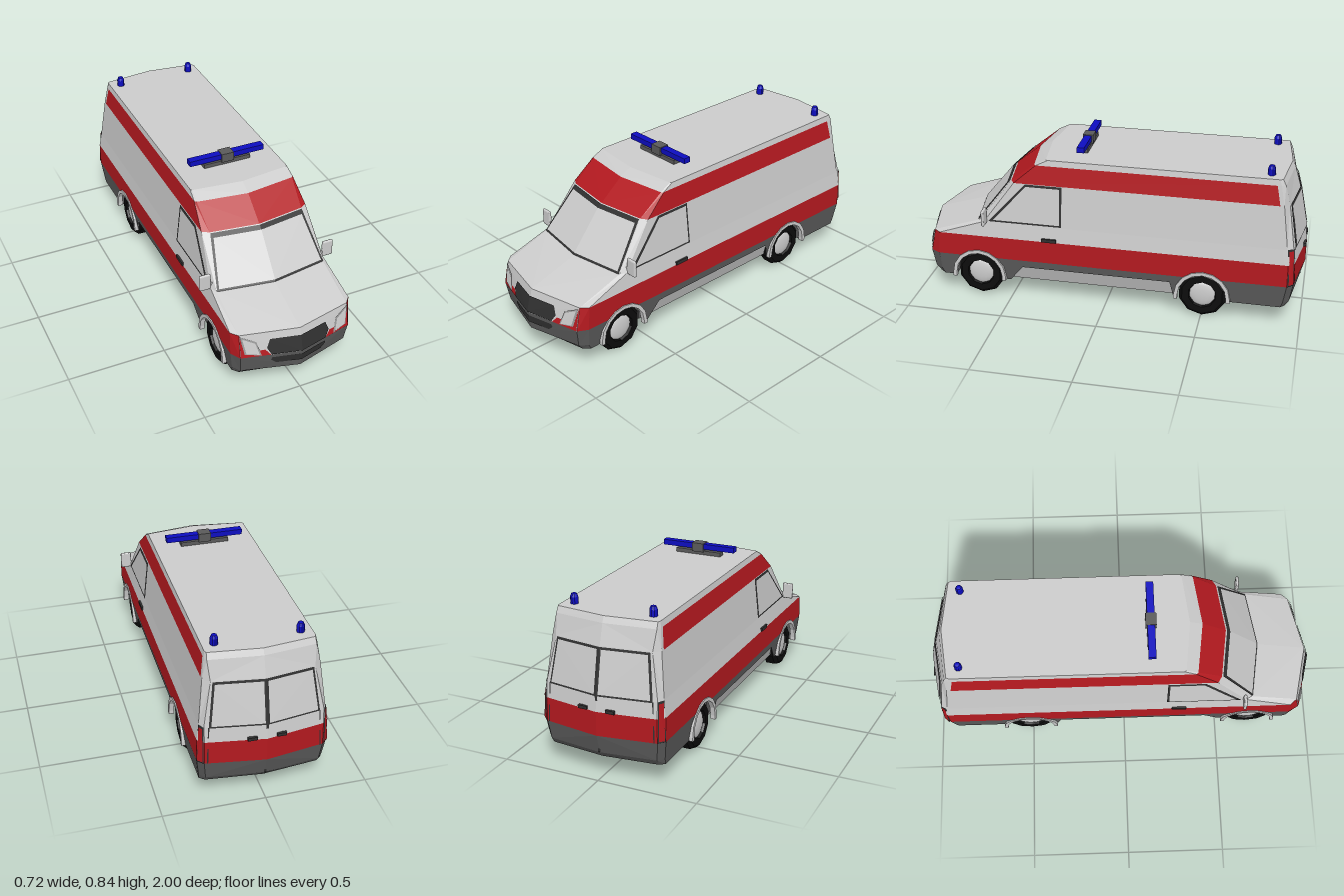
import * as THREE from 'three';
import { RoundedBoxGeometry } from 'three/addons/geometries/RoundedBoxGeometry.js';

const mat = (color) => new THREE.MeshStandardMaterial({ color, flatShading: true, side: THREE.DoubleSide });
const LIGHT = mat(0xcccccc), RED = mat(0xb3191f), DARK = mat(0x5a5a5a), TRIM = mat(0x303030),
  BLACK = mat(0x0c0c0c), BLUE = mat(0x0d0dc0), GREY = mat(0x999999);

// Body levels: y, half width, side front z, corner x, corner front z, centre front z,
// side rear z, corner rear z, centre rear z
const LEVELS = [
  [0.105, 0.300, 0.860, 0.275, 0.890, 0.950, -0.900, -0.920, -0.950],
  [0.135, 0.303, 0.875, 0.277, 0.915, 0.990, -0.910, -0.940, -0.975],
  [0.230, 0.315, 0.880, 0.287, 0.930, 1.000, -0.925, -0.955, -1.000],
  [0.350, 0.315, 0.870, 0.285, 0.905, 0.970, -0.925, -0.955, -1.000],
  [0.430, 0.303, 0.630, 0.286, 0.660, 0.705, -0.915, -0.945, -0.990],
  [0.650, 0.279, 0.470, 0.246, 0.490, 0.525, -0.885, -0.910, -0.945],
  [0.750, 0.265, 0.355, 0.256, 0.365, 0.400, -0.865, -0.885, -0.915],
  [0.780, 0.260, 0.295, 0.254, 0.305, 0.335, -0.855, -0.870, -0.900],
];

// Level values at any height
function at(y) {
  let i = 0;
  while (i < LEVELS.length - 2 && y > LEVELS[i + 1][0]) i++;
  const t = (y - LEVELS[i][0]) / (LEVELS[i + 1][0] - LEVELS[i][0]);
  return LEVELS[i].map((v, k) => v + (LEVELS[i + 1][k] - v) * t);
}

// Half ring of a level, from front centre round the side to rear centre
const ring = ([y, w, sF, cx, cF, mF, sR, cR, mR]) =>
  [[0, y, mF], [cx, y, cF], [w, y, sF], [w, y, sR + 0.02], [w, y, sR], [cx, y, cR], [0, y, mR]];

// Mappings from flat drawings onto the body: front and rear take (x, y), side takes (z, y)
const lerp = THREE.MathUtils.lerp;
const front = (off) => (x, y) => { const l = at(y); return [x, y, lerp(l[5], l[4], x / l[3]) + off]; };
const rear = (off) => (x, y) => { const l = at(y); return [x, y, lerp(l[8], l[7], x / l[3]) - off]; };
const side = (off) => (z, y) => [at(y)[1] + off, y, z];
const rearCorner = (off) => (t, y) => {
  const l = at(y);
  return [lerp(l[1], l[3], t) + off, y, lerp(l[6], l[7], t) - off];
};

const shapeOf = (pts) => new THREE.Shape(pts.map(([a, b]) => new THREE.Vector2(a, b)));

function add(group, name, geometry, material, x = 0, y = 0, z = 0) {
  const mesh = new THREE.Mesh(geometry, material);
  mesh.name = name;
  mesh.position.set(x, y, z);
  group.add(mesh);
  return mesh;
}

// Flat outline laid onto a body surface
function panel(group, name, pts, surface, material) {
  const g = new THREE.ShapeGeometry(shapeOf(pts));
  const p = g.attributes.position;
  for (let i = 0; i < p.count; i++) p.setXYZ(i, ...surface(p.getX(i), p.getY(i)));
  g.computeVertexNormals();
  return add(group, name, g, material);
}

// Body shell: bands between levels, one material per segment
// (front, front corner, side, side rear edge, rear corner, rear); null leaves an opening
function buildShell(group) {
  const bands = [
    [DARK, DARK, null, DARK, DARK, DARK],
    [DARK, DARK, null, DARK, DARK, DARK],
    [LIGHT, RED, null, RED, RED, RED],
    [LIGHT, LIGHT, LIGHT, LIGHT, LIGHT, LIGHT],
    [LIGHT, LIGHT, LIGHT, LIGHT, LIGHT, LIGHT],
    [RED, RED, RED, LIGHT, LIGHT, LIGHT],
    [LIGHT, LIGHT, LIGHT, LIGHT, LIGHT, LIGHT],
  ];
  const faces = new Map([[LIGHT, []], [RED, []], [DARK, []]]);
  bands.forEach((mats, i) => {
    const a = ring(LEVELS[i]), b = ring(LEVELS[i + 1]);
    mats.forEach((m, s) => {
      if (m) faces.get(m).push(...a[s], ...a[s + 1], ...b[s + 1], ...a[s], ...b[s + 1], ...b[s]);
    });
  });
  const top = ring(LEVELS[LEVELS.length - 1]);
  for (let i = 1; i < top.length - 1; i++) faces.get(LIGHT).push(...top[0], ...top[i], ...top[i + 1]);
  const names = new Map([[LIGHT, 'bodyShell'], [RED, 'redBands'], [DARK, 'bumpers']]);
  for (const [m, list] of faces) {
    const g = new THREE.BufferGeometry();
    g.setAttribute('position', new THREE.Float32BufferAttribute(list, 3));
    g.computeVertexNormals();
    add(group, names.get(m), g, m);
  }
}

const WHEELS = [0.665, -0.505];

function buildLowerSide(group) {
  const [f, r] = WHEELS;
  const notch = (c) => [[c + 0.13, 0.105], [c + 0.113, 0.19], [c + 0.077, 0.23],
    [c - 0.077, 0.23], [c - 0.113, 0.19], [c - 0.13, 0.105]];
  const redNotch = (c) => [[c + 0.077, 0.23], [c + 0.04, 0.25], [c - 0.04, 0.25], [c - 0.077, 0.23]];
  panel(group, 'lowerSide', [[0.88, 0.23], [0.875, 0.135], [0.86, 0.105], ...notch(f),
    [0.5, 0.105], [0.43, 0.19], [-0.34, 0.19], [-0.36, 0.105], ...notch(r),
    [-0.88, 0.105], [-0.89, 0.135], [-0.905, 0.23]], side(0), DARK);
  panel(group, 'redSide', [[0.87, 0.35], [0.88, 0.23], ...redNotch(f), ...redNotch(r),
    [-0.905, 0.23], [-0.905, 0.35]], side(0), RED);
  panel(group, 'sideSkirt', [[0.52, 0.105], [0.44, 0.195], [-0.35, 0.195], [-0.37, 0.105]],
    (z, y) => [0.27 + (y - 0.105) * 0.4, y, z], LIGHT);

  // Underbody with wheel wells cut out
  const floor = new THREE.ExtrudeGeometry(shapeOf([[0, 0.95], [0.275, 0.89], [0.298, 0.86], [0.298, f + 0.13],
    [0.2, f + 0.13], [0.2, f - 0.13], [0.27, f - 0.13], [0.27, r + 0.13], [0.2, r + 0.13], [0.2, r - 0.13],
    [0.298, r - 0.13], [0.298, -0.9], [0.275, -0.92], [0, -0.95]]), { depth: 0.165, bevelEnabled: false });
  floor.rotateX(Math.PI / 2);
  add(group, 'underbody', floor, DARK, 0, 0.271, 0);

  // Wheels, wells and arches
  const arc = (rad) => Array.from({ length: 9 }, (_, i) =>
    [rad * Math.cos(i * Math.PI / 8), 0.125 + rad * Math.sin(i * Math.PI / 8)]);
  const arch = new THREE.ExtrudeGeometry(shapeOf([[0.143, 0.105], ...arc(0.143), [-0.143, 0.105],
    [-0.124, 0.105], ...arc(0.124).reverse(), [0.124, 0.105]]), { depth: 0.025, bevelEnabled: false });
  arch.rotateY(Math.PI / 2);
  const tyre = new THREE.LatheGeometry([[0.05, -0.036], [0.11, -0.04], [0.125, -0.032], [0.125, 0.02],
    [0.108, 0.038], [0.072, 0.038], [0.066, 0.022]].map(([a, b]) => new THREE.Vector2(a, b)), 10);
  tyre.rotateZ(-Math.PI / 2).rotateX(Math.PI / 10);
  const hub = new THREE.SphereGeometry(0.07, 14, 8);
  hub.scale(0.25, 1, 1);
  const hubMat = new THREE.MeshStandardMaterial({ color: 0xcccccc });
  for (const z of WHEELS) {
    add(group, 'wheelArch', arch, LIGHT, 0.296, 0, z);
    add(group, 'wheelWellTop', new THREE.BoxGeometry(0.11, 0.008, 0.26), DARK, 0.255, 0.262, z);
    add(group, 'tyre', tyre, BLACK, 0.255, 0.125, z);
    add(group, 'hub', hub, hubMat, 0.275, 0.125, z);
  }
}

function buildDetails(group) {
  // Windscreen
  panel(group, 'windscreenFrame', [[0, 0.431], [0.285, 0.431], [0.245, 0.649], [0, 0.649]], front(0.006), TRIM);
  panel(group, 'windscreen', [[0, 0.441], [0.274, 0.441], [0.236, 0.632], [0, 0.632]], front(0.01), LIGHT);
  // Front lights and grilles
  panel(group, 'frontRedTrim', [[0.145, 0.232], [0.286, 0.232], [0.285, 0.349], [0.268, 0.26], [0.17, 0.262]], front(0.003), RED);
  panel(group, 'headlightFrame', [[0.284, 0.346], [0.21, 0.31], [0.19, 0.237], [0.268, 0.25]].reverse(), front(0.006), GREY);
  panel(group, 'headlight', [[0.275, 0.335], [0.217, 0.305], [0.2, 0.244], [0.261, 0.256]].reverse(), front(0.01), LIGHT);
  panel(group, 'grille', [[0, 0.235], [0.143, 0.235], [0.163, 0.272], [0.146, 0.316], [0, 0.316]], front(0.006), TRIM);
  panel(group, 'lowerGrille', [[0, 0.175], [0.118, 0.175], [0.145, 0.2], [0.138, 0.215], [0, 0.215]], front(0.005), TRIM);
  // Cab side window and handle
  panel(group, 'sideWindowFrame', [[0.605, 0.436], [0.22, 0.436], [0.22, 0.649], [0.41, 0.649]], side(0.004), TRIM);
  panel(group, 'sideWindow', [[0.58, 0.446], [0.231, 0.446], [0.231, 0.638], [0.405, 0.638]], side(0.007), LIGHT);
  add(group, 'sideHandle', new THREE.BoxGeometry(0.012, 0.018, 0.075), TRIM, 0.316, 0.36, 0.285);
  // Rear doors
  panel(group, 'rearWindowFrame', [[0, 0.425], [0.265, 0.425], [0.238, 0.648], [0, 0.648]], rear(0.004), TRIM);
  panel(group, 'rearWindow', [[0.01, 0.435], [0.254, 0.435], [0.229, 0.638], [0.01, 0.638]], rear(0.008), LIGHT);
  panel(group, 'doorSeam', [[0, 0.138], [0.006, 0.138], [0.006, 0.425], [0, 0.425]], rear(0.004), TRIM);
  panel(group, 'doorEdge', [[0.27, 0.232], [0.276, 0.232], [0.268, 0.428], [0.262, 0.428]], rear(0.004), TRIM);
  add(group, 'rearHandle', new THREE.BoxGeometry(0.045, 0.016, 0.014), TRIM, 0.07, 0.36, -0.993);
  // Tail light
  panel(group, 'tailLightFrame', [[0, 0.232], [1, 0.232], [1, 0.432], [0, 0.432]], rearCorner(0.003), TRIM);
  panel(group, 'tailLight', [[0.15, 0.24], [0.85, 0.24], [0.85, 0.422], [0.15, 0.422]], rearCorner(0.005), RED);
  // Mirror
  add(group, 'wingMirror', new RoundedBoxGeometry(0.058, 0.088, 0.016, 2, 0.0079), LIGHT, 0.329, 0.469, 0.62);
  add(group, 'mirrorArm', new THREE.BoxGeometry(0.03, 0.02, 0.01), LIGHT, 0.3, 0.45, 0.62);
  // Rear beacon
  const beacon = new THREE.LatheGeometry([[0.019, 0], [0.019, 0.035], [0.013, 0.05], [0, 0.052]]
    .map(([a, b]) => new THREE.Vector2(a, b)), 10);
  add(group, 'rearBeacon', beacon, BLUE, 0.203, 0.778, -0.81);
}

export function createModel() {
  const model = new THREE.Group();
  model.name = 'ambulance';
  const left = new THREE.Group();
  left.name = 'leftHalf';
  buildShell(left);
  buildLowerSide(left);
  buildDetails(left);
  const right = left.clone();
  right.name = 'rightHalf';
  right.scale.x = -1;
  model.add(left, right);

  // Roof light bar
  add(model, 'lightBarBase', new THREE.BoxGeometry(0.25, 0.022, 0.04), DARK, 0, 0.79, 0.14);
  add(model, 'lightBar', new THREE.BoxGeometry(0.4, 0.028, 0.038), BLUE, 0, 0.823, 0.14);
  add(model, 'lightBarCentre', new THREE.BoxGeometry(0.064, 0.046, 0.054), DARK, 0, 0.818, 0.14);
  return model;
}
